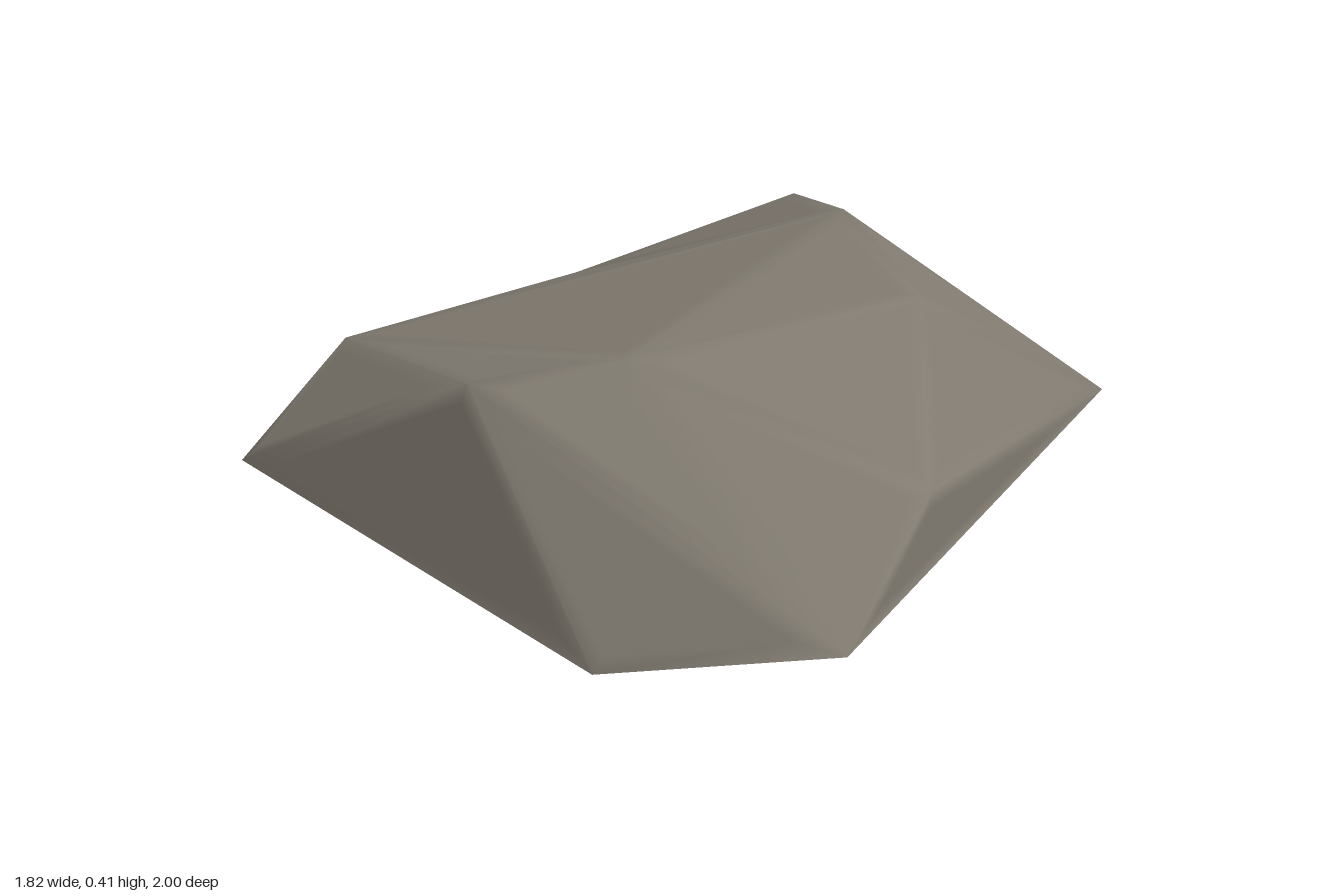
import * as THREE from 'three';

// Corners of the rock shell, named by where they sit
const P = {
  A: [-0.91, 0, -0.5], B: [0.12, 0.065, -0.95], C: [0.34, 0, -1], D: [0.7, 0.15, -0.5],
  E: [0.91, 0, 0.12], F: [-0.32, 0.11, 0.995], G: [-0.66, 0, 0.66],
  H: [0, 0.26, 0.775], I: [0.3, 0.41, 0.27], J: [0.43, 0.41, -0.23], K: [0.53, 0.305, -0.61],
  L: [-0.62, 0.185, -0.6], M: [-0.65, 0.37, 0.12], N: [-0.37, 0.41, 0.25],
};

// Facets: top, back, right, front, left (open underneath)
const FACETS = 'NIJ NJL MNL JKB JBL ALB ABC CBK CKD CDE DKJ DJE JIE IHE HFE INH NFH NMF MGF MAG MLA'.split(' ');

// Flat facets whose narrow borders blend towards the shared corner normals
function facetedShell(softWidth) {
  const points = {}, cornerNormals = {};
  for (const k in P) {
    points[k] = new THREE.Vector3(...P[k]);
    cornerNormals[k] = new THREE.Vector3();
  }
  const centre = new THREE.Vector3(0, 0.05, 0);
  const faces = FACETS.map((name) => {
    let keys = [...name];
    const tri = new THREE.Triangle(...keys.map((k) => points[k]));
    const normal = tri.getNormal(new THREE.Vector3());
    const mid = tri.getMidpoint(new THREE.Vector3());
    // Turn every facet outwards
    if (normal.dot(mid.clone().sub(centre)) < 0) {
      keys.reverse();
      normal.negate();
    }
    keys.forEach((k) => cornerNormals[k].addScaledVector(normal, tri.getArea()));
    return { keys, normal };
  });
  for (const k in cornerNormals) cornerNormals[k].normalize();

  const position = [], normals = [];
  const put = (v, n) => {
    position.push(v.x, v.y, v.z);
    normals.push(n.x, n.y, n.z);
  };
  for (const { keys, normal } of faces) {
    const outer = keys.map((k) => points[k]);
    // Incentre and inradius give an even inset
    const w = [0, 1, 2].map((i) => outer[(i + 1) % 3].distanceTo(outer[(i + 2) % 3]));
    const sum = w[0] + w[1] + w[2];
    const incentre = new THREE.Vector3();
    outer.forEach((v, i) => incentre.addScaledVector(v, w[i] / sum));
    const inradius = 2 * new THREE.Triangle(...outer).getArea() / sum;
    const t = Math.min(0.5, softWidth / inradius);
    const inner = outer.map((v) => v.clone().lerp(incentre, t));
    const rim = keys.map((k) => normal.clone().lerp(cornerNormals[k], 0.8).normalize());
    inner.forEach((v) => put(v, normal));
    for (let i = 0; i < 3; i++) {
      const j = (i + 1) % 3;
      put(outer[i], rim[i]); put(outer[j], rim[j]); put(inner[j], normal);
      put(outer[i], rim[i]); put(inner[j], normal); put(inner[i], normal);
    }
  }
  const geometry = new THREE.BufferGeometry();
  geometry.setAttribute('position', new THREE.Float32BufferAttribute(position, 3));
  geometry.setAttribute('normal', new THREE.Float32BufferAttribute(normals, 3));
  return geometry;
}

export function createModel() {
  const group = new THREE.Group();
  group.name = 'rock';
  const stone = new THREE.MeshStandardMaterial({ color: 0x807a70, side: THREE.DoubleSide });
  stone.name = 'stone grey';
  const shell = new THREE.Mesh(facetedShell(0.035), stone);
  shell.name = 'rockShell';
  group.add(shell);
  return group;
}
